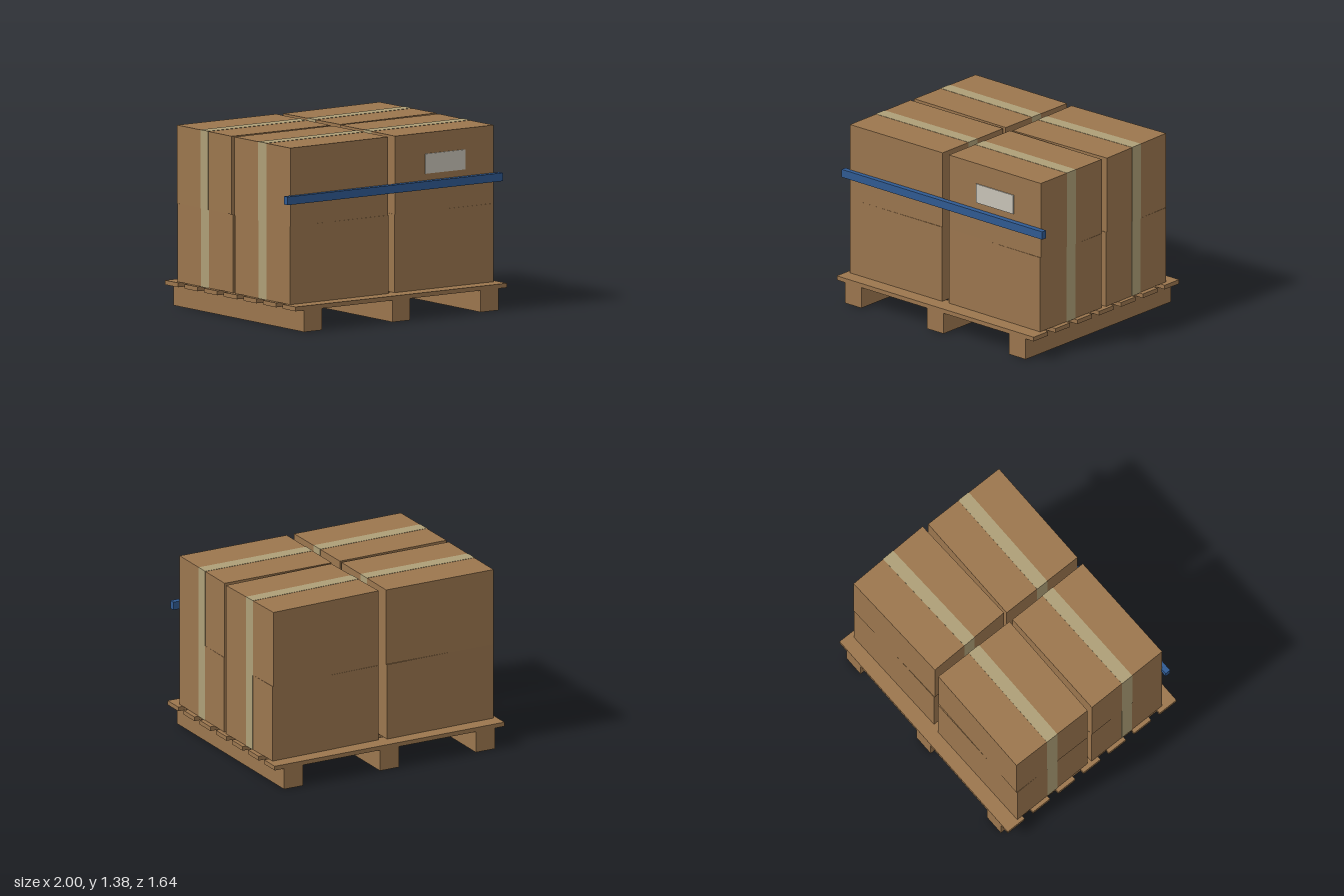
import * as THREE from 'three';

export function createModel() {
  const model = new THREE.Group();
  model.name = 'loadedPallet';

  const mat = (name, color) => {
    const m = new THREE.MeshStandardMaterial({ color });
    m.name = name;
    return m;
  };
  const brown = mat('cardboard and wood brown', 0x9b764e);
  const tan = mat('packing tape tan', 0xae9f77);
  const paper = mat('label paper', 0xc9c4b8);
  const blue = mat('strap blue', 0x305a92);

  const addBox = (parent, name, size, pos, material) => {
    const mesh = new THREE.Mesh(new THREE.BoxGeometry(...size), material);
    mesh.name = name;
    mesh.position.set(...pos);
    parent.add(mesh);
    return mesh;
  };

  // Pallet: three runners under seven deck slats
  const pallet = new THREE.Group();
  pallet.name = 'pallet';
  model.add(pallet);
  for (const x of [-0.82, 0, 0.82]) addBox(pallet, 'runner', [0.164, 0.164, 1.636], [x, 0.082, 0], brown);
  for (let i = -3; i <= 3; i++) addBox(pallet, 'deckSlat', [1.964, 0.033, 0.164], [0, 0.18, i * 0.2455], brown);

  // Cartons: two layers of four, each slightly turned and wrapped by one tape band
  const W = 0.916, H = 0.591, D = 0.687;
  const layers = [
    [[-0.492, 0.361, 0.004], [0.488, 0.356, -0.007], [-0.492, -0.364, 0.012], [0.49, -0.362, 0.02]],
    [[-0.494, 0.359, 0.01], [0.488, 0.355, 0.001], [-0.494, -0.362, -0.004], [0.49, -0.362, 0.031]],
  ];
  layers.forEach((layer, level) => {
    for (const [x, z, turn] of layer) {
      const carton = new THREE.Group();
      carton.name = level ? 'upperCarton' : 'lowerCarton';
      carton.position.set(x, 0.197 + H * (level + 0.5), z);
      carton.rotation.y = turn;
      addBox(carton, 'cartonBody', [W, H, D], [0, 0, 0], brown);
      addBox(carton, 'tapeBand', [W + 0.004, H + 0.004, 0.1], [0, 0, 0], tan);
      model.add(carton);
    }
  });

  // Shipping label and front strap
  addBox(model, 'label', [0.37, 0.15, 0.008], [0.493, 1.145, 0.703], paper);
  addBox(model, 'strap', [2, 0.062, 0.044], [0, 0.988, 0.721], blue);

  return model;
}
